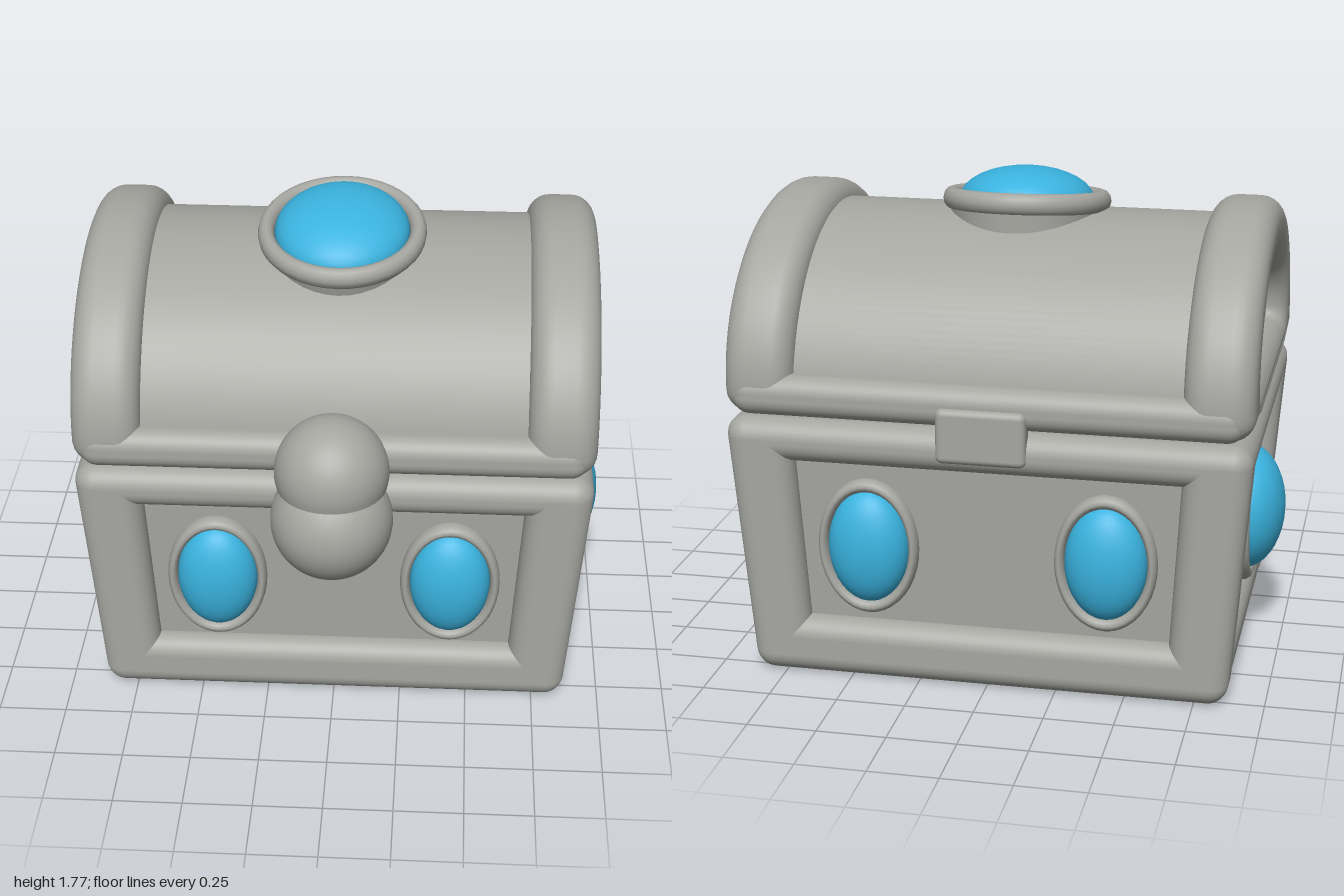
import * as THREE from 'three';
import { toCreasedNormals } from 'three/addons/utils/BufferGeometryUtils.js';
import { RoundedBoxGeometry } from 'three/addons/geometries/RoundedBoxGeometry.js';

const MID = -0.115; // z of the chest's centre line
const HX = 0.94, HZ = 0.745; // half width and half depth

export function createModel() {
  const model = new THREE.Group();
  const stone = new THREE.MeshStandardMaterial({ name: 'stone grey', color: 0xa6a6a1 });
  const blue = new THREE.MeshStandardMaterial({ name: 'gem blue', color: 0x3ab3df });

  function add(name, geometry, material = stone, parent = model) {
    const mesh = new THREE.Mesh(geometry, material);
    mesh.name = name;
    parent.add(mesh);
    return mesh;
  }

  // Narrows the lower body towards the floor
  function taper(geometry) {
    const p = geometry.attributes.position;
    for (let i = 0; i < p.count; i++) {
      const t = THREE.MathUtils.clamp(p.getY(i) / 0.95, 0, 1);
      p.setX(i, p.getX(i) * THREE.MathUtils.lerp(0.92, 1, t));
      p.setZ(i, MID + (p.getZ(i) - MID) * THREE.MathUtils.lerp(0.95, 1, t));
    }
    return geometry;
  }

  // Rounded bar given by its size and centre
  function bar(w, h, d, x, y, z, r = 0.075) {
    return new RoundedBoxGeometry(w, h, d, 5, r).translate(x, y, z);
  }

  // Body: recessed core inside a rounded frame
  const core = new THREE.BoxGeometry(2 * HX - 0.15, 0.93, 2 * HZ - 0.15).translate(0, 0.515, MID);
  add('bodyPanels', toCreasedNormals(taper(core), 0.6));
  for (const s of [-1, 1]) {
    const zEdge = MID + s * (HZ - 0.11);
    add('bottomRail', taper(bar(2 * HX, 0.22, 0.22, 0, 0.11, zEdge)));
    add('topRail', taper(bar(2 * HX, 0.16, 0.22, 0, 0.9, zEdge)));
    add('sideBottomRail', taper(bar(0.24, 0.19, 2 * HZ, s * (HX - 0.12), 0.125, MID)));
    add('sideTopRail', taper(bar(0.24, 0.16, 2 * HZ, s * (HX - 0.12), 0.9, MID)));
    for (const side of [-1, 1]) {
      add('cornerPost', taper(bar(0.24, 0.98, 0.23, side * (HX - 0.12), 0.49, MID + s * (HZ - 0.115))));
    }
    add('lidRail', bar(2 * HX - 0.06, 0.15, 0.2, 0, 1.065, MID + s * (HZ - 0.1), 0.065));
  }

  // Half ellipse with softened lower corners
  function dome(path, a, b, y, r) {
    path.moveTo(-a + r, y);
    path.lineTo(a - r, y);
    path.quadraticCurveTo(a, y, a, y + r);
    path.absellipse(0, y + r, a, b - r, 0, Math.PI, false, 0);
    path.quadraticCurveTo(-a, y, -a + r, y);
    return path;
  }

  // Extrudes a side profile along x, centred on x
  function extrudeX(shape, width, bevel, x) {
    const depth = width - 2 * bevel;
    const g = new THREE.ExtrudeGeometry(shape, {
      depth, curveSegments: 32, bevelEnabled: bevel > 0,
      bevelSize: bevel, bevelThickness: bevel, bevelOffset: -bevel, bevelSegments: 6,
    });
    g.translate(0, 0, -depth / 2).rotateY(Math.PI / 2).translate(x, 0, MID);
    return toCreasedNormals(g, 0.7);
  }

  // Lid: barrel between two thick arches
  add('lidBarrel', extrudeX(dome(new THREE.Shape(), 0.675, 0.62, 1.0, 0.03), 1.72, 0, 0));
  for (const s of [-1, 1]) {
    const arch = dome(new THREE.Shape(), HZ - 0.005, 0.695, 0.99, 0.1);
    arch.holes.push(dome(new THREE.Path(), 0.485, 0.35, 1.125, 0.04));
    add('lidArch', extrudeX(arch, 0.25, 0.085, s * (HX - 0.125)));
  }

  // Oval gem facing +z in a raised ring; rx and ry are the gem's radii
  function gem(name, rx, ry, bulge, rim) {
    const group = new THREE.Group();
    group.name = name;
    add('gemStone', new THREE.SphereGeometry(1, 32, 20).scale(rx, ry, bulge), blue, group);
    const ring = new THREE.TorusGeometry(1, 0.11, 12, 40);
    add('gemRing', ring.scale(rx + rim, ry + rim, 0.36), stone, group);
    model.add(group);
    return group;
  }

  for (const s of [-1, 1]) {
    gem('frontGem', 0.148, 0.212, 0.1, 0.018).position.set(s * 0.43, 0.51, 0.555);
    const back = gem('backGem', 0.148, 0.212, 0.1, 0.018);
    back.position.set(s * 0.43, 0.51, -0.775);
    back.rotation.y = Math.PI;
    const side = gem('sideGem', 0.21, 0.238, 0.15, 0.018);
    side.position.set(s * 0.85, 0.515, -0.11);
    side.rotation.y = s * Math.PI / 2;
  }

  // Top gem, leaning forward on a mount that sinks into the barrel
  const top = gem('topGem', 0.25, 0.275, 0.125, 0.03);
  top.position.set(0, 1.64, -0.045);
  top.rotation.x = -Math.PI / 2 + 0.14;
  const mount = new THREE.CylinderGeometry(1, 0.94, 0.14, 40).rotateX(Math.PI / 2);
  add('gemMount', mount.scale(0.29, 0.32, 1).translate(0, 0, -0.07), stone, top);

  // Clasp: two balls sliced flat where lid and body meet
  function slicedBall(r, from, to) {
    const pts = [];
    for (let i = 0; i <= 20; i++) {
      const a = THREE.MathUtils.lerp(from, to, i / 20);
      pts.push(new THREE.Vector2(Math.max(0, r * Math.cos(a)), r * Math.sin(a)));
    }
    if (from > -1.5) pts.unshift(new THREE.Vector2(0, pts[0].y));
    if (to < 1.5) pts.push(new THREE.Vector2(0, pts[pts.length - 1].y));
    return toCreasedNormals(new THREE.LatheGeometry(pts, 40), 0.7);
  }
  add('claspLower', slicedBall(0.22, -Math.PI / 2, 0.7)).position.set(0, 0.84, 0.66);
  add('claspUpper', slicedBall(0.205, -0.27, Math.PI / 2)).position.set(0, 1.035, 0.65);

  // Hinge plate on the back
  add('hinge', bar(0.32, 0.2, 0.08, 0, 0.97, -0.84, 0.025));

  return model;
}
